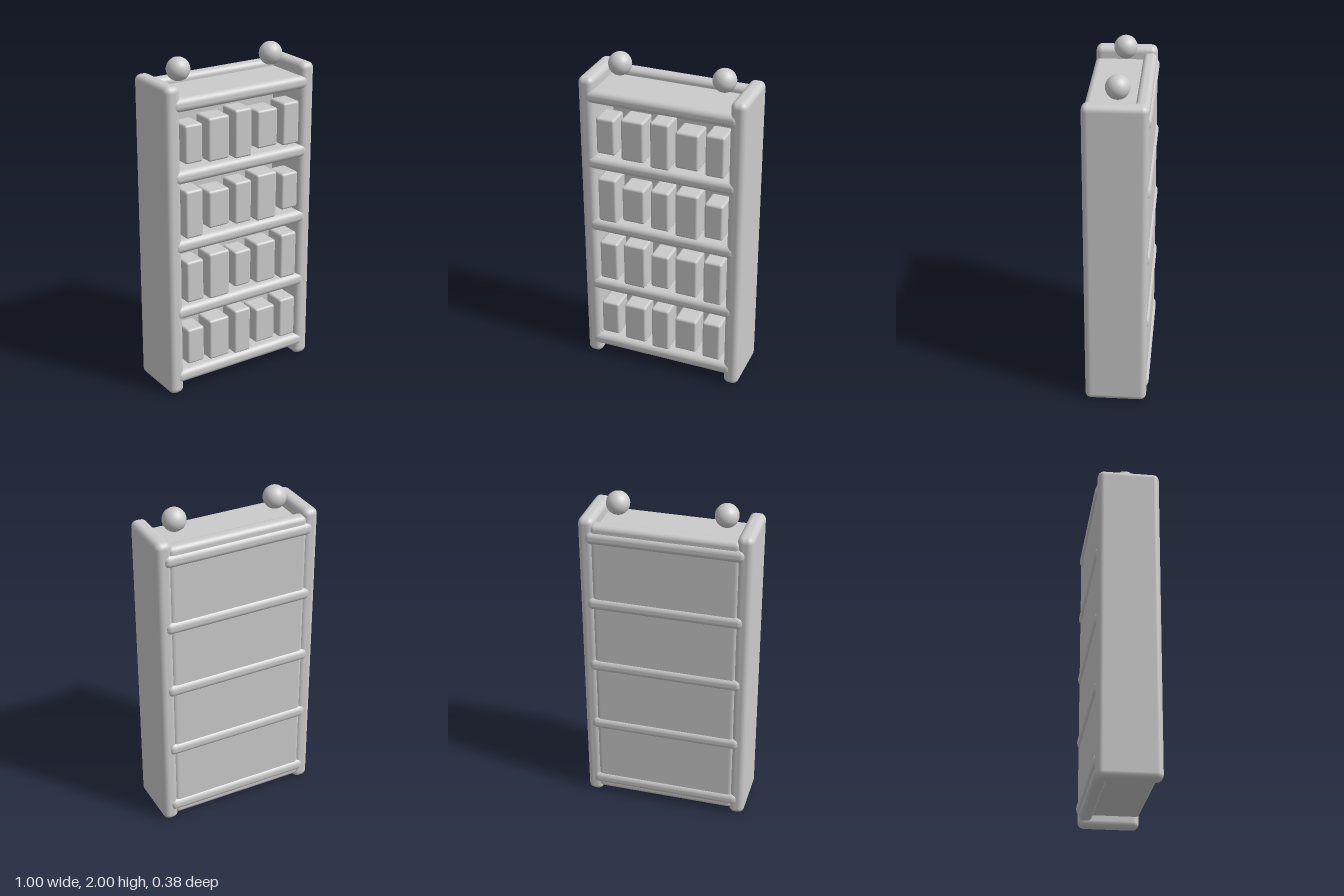
import * as THREE from 'three';
import { RoundedBoxGeometry } from 'three/addons/geometries/RoundedBoxGeometry.js';

export function createModel() {
  const group = new THREE.Group();
  const material = new THREE.MeshStandardMaterial({ color: 0xcccccc });

  const add = (name, geometry, x, y, z) => {
    const mesh = new THREE.Mesh(geometry, material);
    mesh.name = name;
    mesh.position.set(x, y, z);
    group.add(mesh);
  };
  const rounded = (w, h, d, r) => new RoundedBoxGeometry(w, h, d, 3, r);

  // Upright sides and the ball ornaments above them
  for (const [side, s] of [['left', 1], ['right', -1]]) {
    add(`${side}Side`, rounded(0.093, 1.89, 0.363, 0.036), s * 0.453, 0.948, 0.001);
    add(`${side}Ball`, new THREE.SphereGeometry(0.068, 32, 20), s * 0.312, 1.932, -0.002);
  }

  // Back panel, rising a little above the top shelf
  add('backPanel', rounded(0.86, 1.825, 0.08, 0.03), 0, 0.948, -0.14);

  // Five shelves, slightly proud of the back panel
  const shelfGap = 0.4175;
  for (let i = 0; i < 5; i++) {
    add(`shelf${i + 1}`, rounded(0.92, 0.08, 0.38, 0.034), 0, 0.11 + i * shelfGap, -0.003);
  }

  // Four rows of books from the top down, heights cycling through three sizes
  const heights = [0.225, 0.255, 0.286];
  for (let row = 0; row < 4; row++) {
    for (let i = 0; i < 5; i++) {
      const h = heights[(row * 5 + i) % 3];
      const w = i % 2 ? 0.138 : 0.113;
      const depth = 0.14;
      add(`book${row * 5 + i + 1}`, rounded(w, h, depth, 0.014),
        (i - 2) * 0.165, 1.553 - row * shelfGap, 0.19 - depth / 2);
    }
  }
  return group;
}
